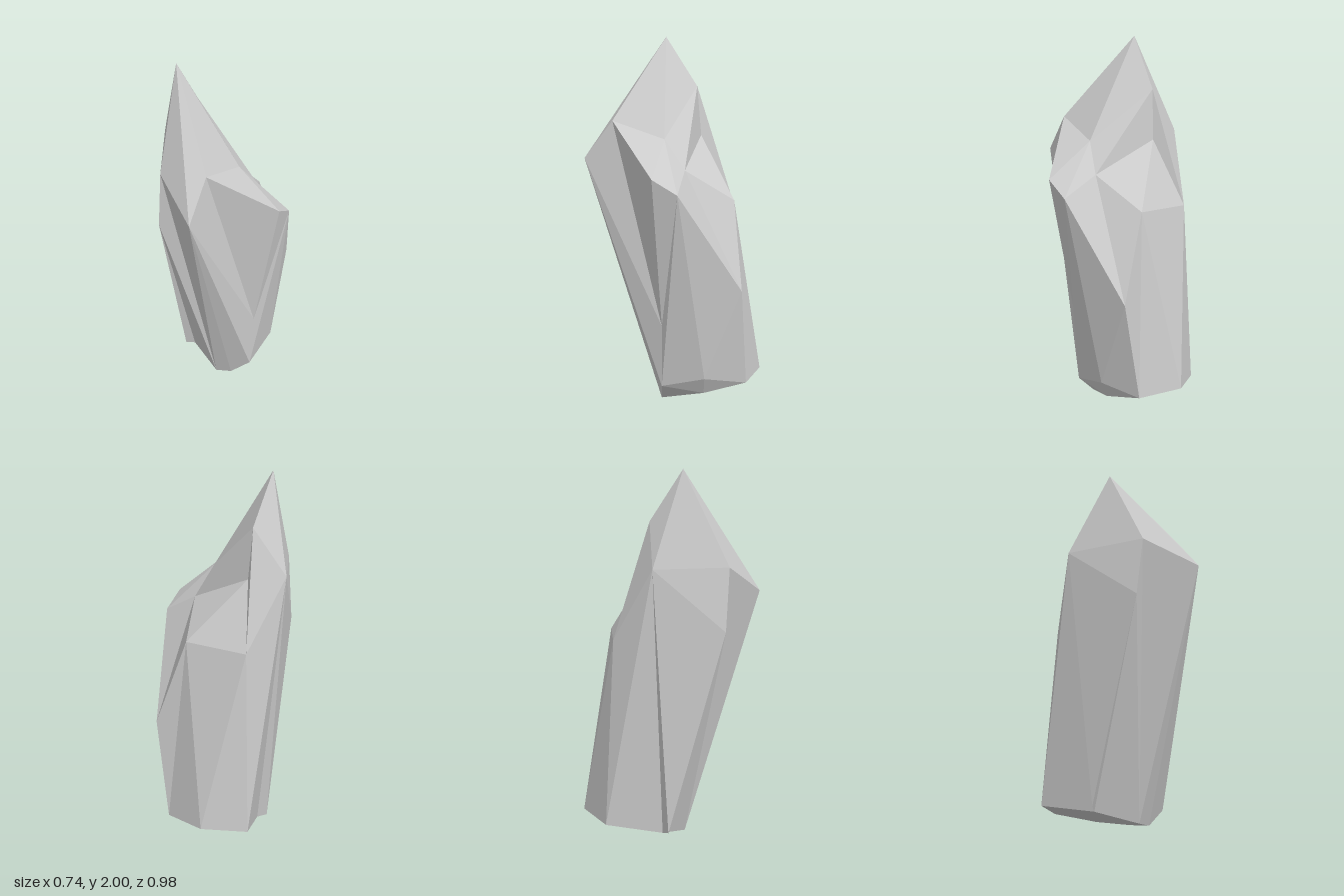
import * as THREE from 'three';

// Corners of the crystal, grouped by height
const P = {
  // pointed tip and its shoulders
  tip: [-0.234, 2, 0.03], backPeak: [-0.184, 1.73, -0.14],
  brow: [0.01, 1.556, 0.332], nose: [-0.034, 1.35, 0.486],
  cheek: [-0.252, 1.49, 0.275], cheekLow: [-0.28, 1.15, 0.252],
  side: [-0.37, 1.49, -0.148],
  // broken step on the +x side and at the back
  notch: [0.104, 1.464, 0.055], ledgeFront: [0.343, 1.28, 0.132], ledgeBack: [0.366, 1.2, 0],
  step: [0.177, 1.305, -0.05], stepIn: [-0.166, 1.46, -0.162],
  backA: [-0.22, 1.112, -0.338], backB: [0.12, 1.135, -0.32], backC: [0.288, 0.67, -0.348],
  cleft: [0.205, 0.462, 0.075],
  // slanted foot with bevelled corners
  b1: [0.185, 0.117, 0.075], b2: [0.253, 0.175, -0.153],
  b3: [-0.02, 0, 0.074], b4: [0.07, 0.01, 0.07], b5: [0.205, 0.08, -0.153],
  b6: [0.21, 0.137, -0.385], b7: [-0.02, 0.147, -0.49], b8: [-0.25, 0.12, -0.387],
  b9: [-0.2, 0.046, -0.075], b10: [-0.248, 0.058, -0.05],
};

// Facets, corners counter-clockwise from outside
const FACETS = [
  // tip
  'tip cheek nose brow', 'tip brow notch backPeak', 'tip backPeak side', 'tip side cheek',
  // step and ledge
  'brow ledgeFront notch', 'brow cleft ledgeFront', 'notch ledgeFront ledgeBack step',
  'notch step backPeak', 'backPeak step stepIn', 'step ledgeBack backC backB',
  'stepIn step backB backA', 'backPeak stepIn backA', 'side backPeak backA',
  // front and +x flanks
  'cheek cheekLow b3 nose', 'cheekLow b10 b9 b3', 'nose b3 b4 b1', 'nose b1 cleft brow',
  'ledgeBack ledgeFront cleft b1 b2', 'ledgeBack b2 backC', 'backC b2 b6',
  // -x and back flanks
  'side cheekLow cheek', 'side b10 cheekLow', 'side b9 b10', 'side backA b8 b9',
  'backA backB b7', 'backA b7 b8', 'backB backC b6 b7',
  // foot
  'b1 b4 b5 b2', 'b2 b5 b6', 'b3 b9 b8 b7 b6 b5 b4',
];

export function createModel() {
  const pos = [];
  for (const facet of FACETS) {
    const c = facet.split(' ').map((name) => P[name]);
    for (let i = 1; i < c.length - 1; i++) pos.push(...c[0], ...c[i], ...c[i + 1]);
  }
  const geometry = new THREE.BufferGeometry();
  geometry.setAttribute('position', new THREE.Float32BufferAttribute(pos, 3));
  geometry.computeVertexNormals();

  const crystal = new THREE.Mesh(
    geometry,
    new THREE.MeshStandardMaterial({ color: 0xcccccc, flatShading: true }),
  );
  crystal.name = 'crystal';
  const group = new THREE.Group();
  group.name = 'crystalShard';
  group.add(crystal);
  return group;
}
